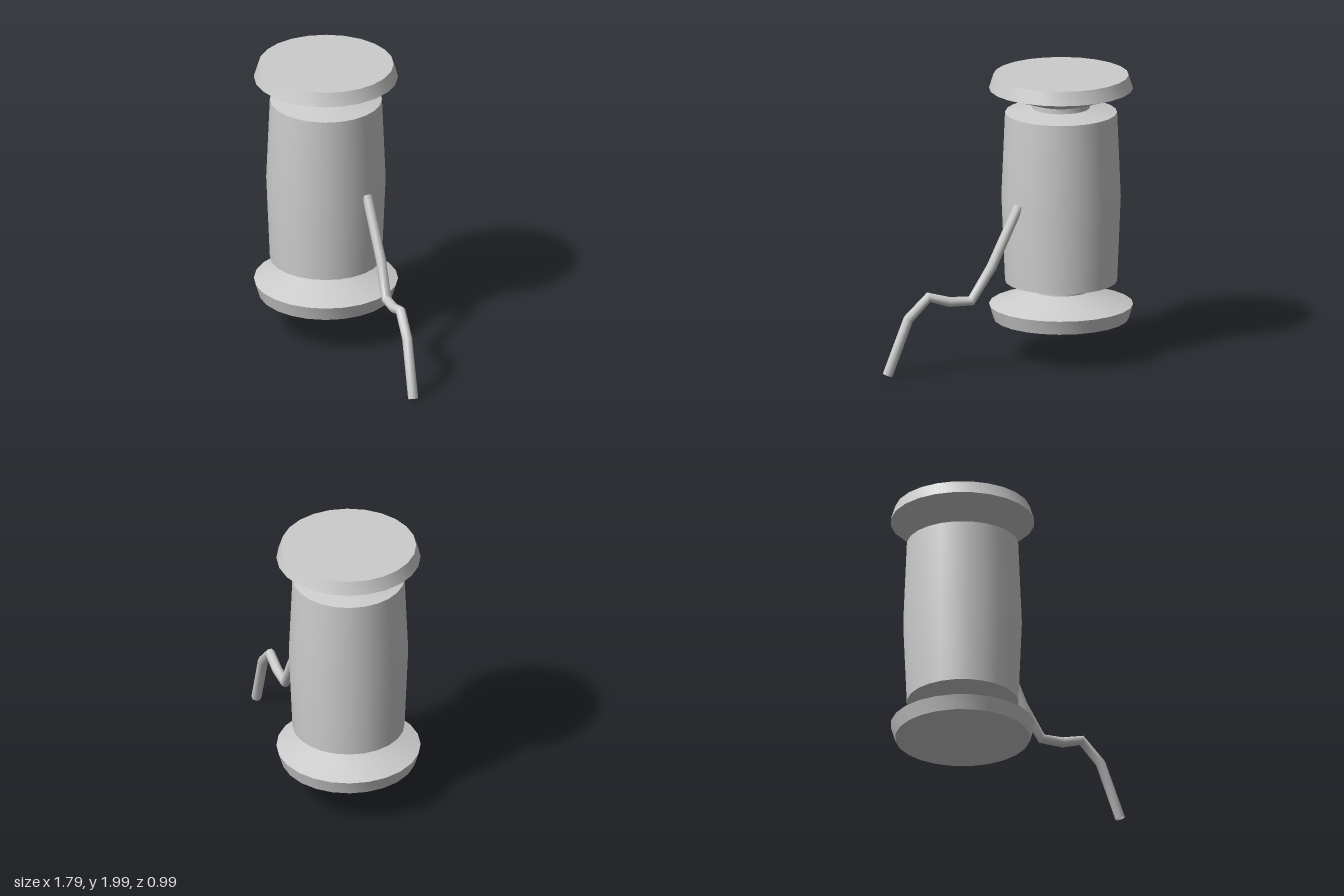
import * as THREE from 'three';
import { toCreasedNormals } from 'three/addons/utils/BufferGeometryUtils.js';

const SPOOL_X = -0.4;

// Faceted-round part from [radius, height] pairs, listed bottom to top
function turned(name, profile, material) {
  const points = profile.map(([r, y]) => new THREE.Vector2(r, y));
  const mesh = new THREE.Mesh(toCreasedNormals(new THREE.LatheGeometry(points, 24), 0.4), material);
  mesh.name = name;
  mesh.position.x = SPOOL_X;
  return mesh;
}

// Straight segments with one tube ring at every corner, mitred between neighbours
class BentLine extends THREE.Curve {
  constructor(points) {
    super();
    this.points = points;
  }
  getPointAt(t) {
    return this.points[Math.round(t * (this.points.length - 1))].clone();
  }
  getTangentAt(t) {
    const p = this.points, last = p.length - 1, i = Math.round(t * last);
    const tangent = new THREE.Vector3();
    if (i > 0) tangent.add(p[i].clone().sub(p[i - 1]).normalize());
    if (i < last) tangent.add(p[i + 1].clone().sub(p[i]).normalize());
    return tangent.normalize();
  }
}

export function createModel() {
  const model = new THREE.Group();
  model.name = 'threadSpool';
  const grey = new THREE.MeshStandardMaterial({ color: 0xcccccc });
  grey.name = 'grey';
  const greyThread = new THREE.MeshStandardMaterial({ color: 0xcccccc, side: THREE.DoubleSide });
  greyThread.name = 'grey thread';

  // End flanges with their short necks
  model.add(turned('bottomFlange',
    [[0, 0.275], [0.465, 0.275], [0.495, 0.375], [0.2, 0.475], [0.2, 0.51]], grey));
  model.add(turned('topFlange',
    [[0.2, 1.765], [0.2, 1.805], [0.495, 1.905], [0.465, 2], [0, 2]], grey));

  // Wound thread, bulging slightly at the middle
  model.add(turned('woundThread',
    [[0.2, 0.505], [0.385, 0.54], [0.41, 1.14], [0.385, 1.735], [0.2, 1.77]], grey));

  // Loose thread end, open at its tip
  const path = new BentLine([
    [0, 1.14, 0], [0.2, 0.73, 0.06], [0.325, 0.5, 0.13], [0.47, 0.505, 0.2],
    [0.6, 0.55, 0.265], [0.73, 0.405, 0.33], [0.86, 0.017, 0.4],
  ].map((p) => new THREE.Vector3(...p)));
  const tube = new THREE.TubeGeometry(path, path.points.length - 1, 0.035, 8, false);
  const looseThread = new THREE.Mesh(toCreasedNormals(tube, Math.PI / 3), greyThread);
  looseThread.name = 'looseThread';
  model.add(looseThread);

  return model;
}
